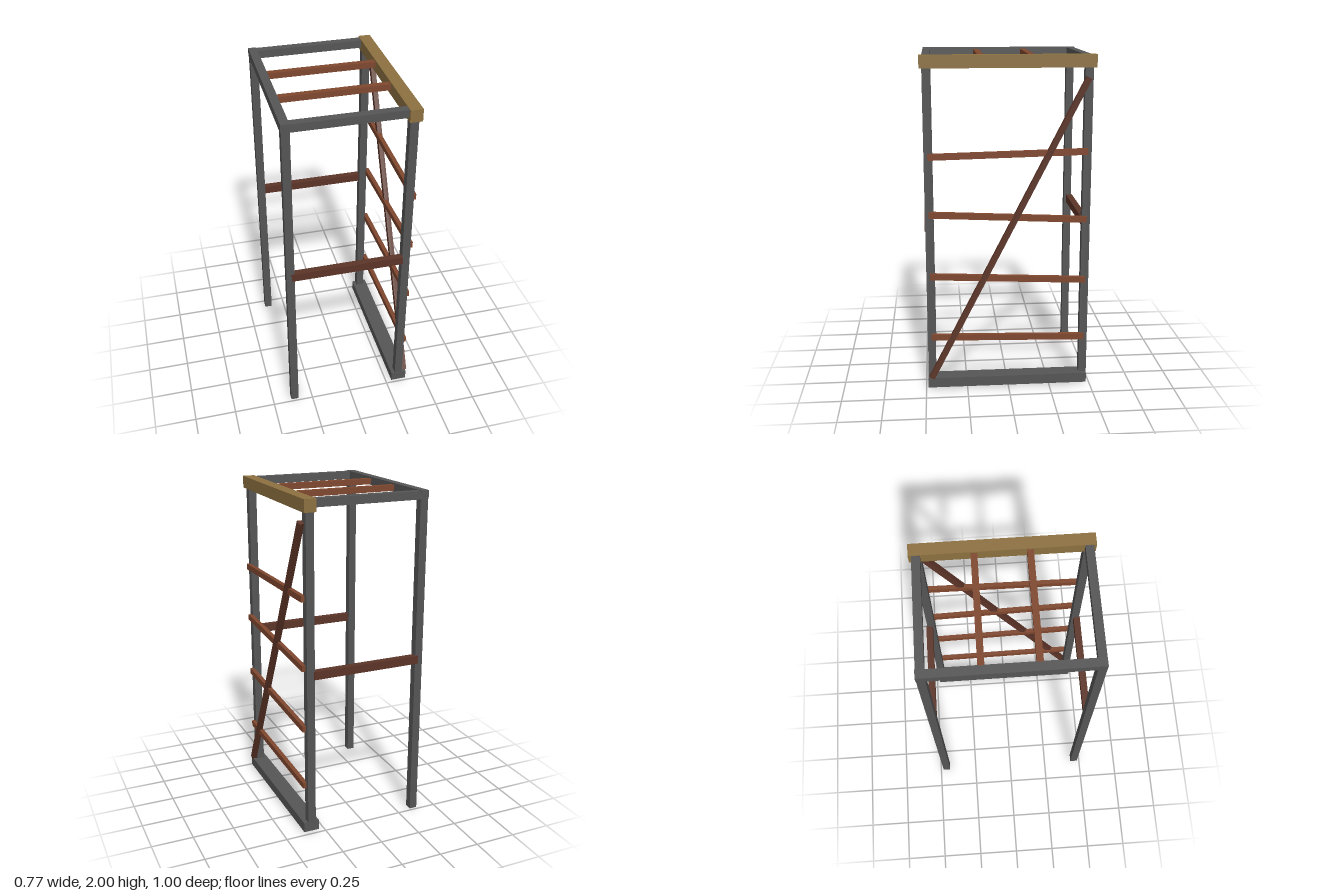
import * as THREE from 'three';

const material = (color) => new THREE.MeshStandardMaterial({ color, flatShading: true });

export function createModel() {
  const model = new THREE.Group();
  const steel = material(0x555555);
  const gold = material(0x8c7040);
  const rust = material(0x7f472e);
  const darkRust = material(0x5c3427);

  // Box given by its [min, max] along each axis
  function bar(name, mat, [x0, x1], [y0, y1], [z0, z1]) {
    const mesh = new THREE.Mesh(new THREE.BoxGeometry(x1 - x0, y1 - y0, z1 - z0), mat);
    mesh.position.set((x0 + x1) / 2, (y0 + y1) / 2, (z0 + z1) / 2);
    mesh.name = name;
    model.add(mesh);
    return mesh;
  }

  // Bar on the ladder side, sloping from (yFront, zFront) to (yBack, zBack)
  function slopedBar(name, mat, [x0, x1], height, [yFront, zFront], [yBack, zBack]) {
    const dy = yFront - yBack, dz = zFront - zBack;
    const half = Math.hypot(dy, dz) / 2;
    const mesh = bar(name, mat, [x0, x1], [-height / 2, height / 2], [-half, half]);
    mesh.position.set((x0 + x1) / 2, (yFront + yBack) / 2, (zFront + zBack) / 2);
    mesh.rotation.x = -Math.atan2(dy, dz);
  }

  // Corner posts, top end beams and mid-height braces, front and back
  for (const [side, z] of [['front', [0.438, 0.485]], ['back', [-0.483, -0.436]]]) {
    const s = Math.sign(z[0]);
    bar(side + 'RightPost', steel, [-0.385, -0.338], [0, 1.99], z);
    bar(side + 'LeftPost', steel, [0.307, 0.355], [0.01, 1.96], z);
    bar(side + 'TopBeam', steel, [-0.385, 0.34], [1.95, 1.997], z);
    const brace = bar(side + 'Brace', darkRust, [-0.355, 0.312], [0.978, 1.027], [-0.02, 0.02]);
    brace.position.z = s * 0.47;
  }

  // Long top beams and bottom sill
  bar('rightTopBeam', steel, [-0.387, -0.338], [1.95, 2], [-0.485, 0.485]);
  bar('leftTopBeam', gold, [0.298, 0.37], [1.928, 2], [-0.5, 0.5]);
  bar('sill', steel, [0.285, 0.38], [0.008, 0.068], [-0.48, 0.488]);

  // Roof slats
  for (const z of [-0.152, 0.147])
    bar('roofSlat', rust, [-0.345, 0.305], [1.955, 1.99], [z - 0.018, z + 0.018]);

  // Uneven ladder rungs and the diagonal across them
  for (const [yFront, yBack] of [[0.331, 0.308], [0.714, 0.672], [1.09, 1.045], [1.429, 1.45]])
    slopedBar('rung', rust, [0.35, 0.376], 0.036, [yFront, 0.463], [yBack, -0.46]);
  slopedBar('diagonalBrace', darkRust, [0.357, 0.387], 0.034, [0.07, 0.465], [1.872, -0.455]);

  return model;
}
